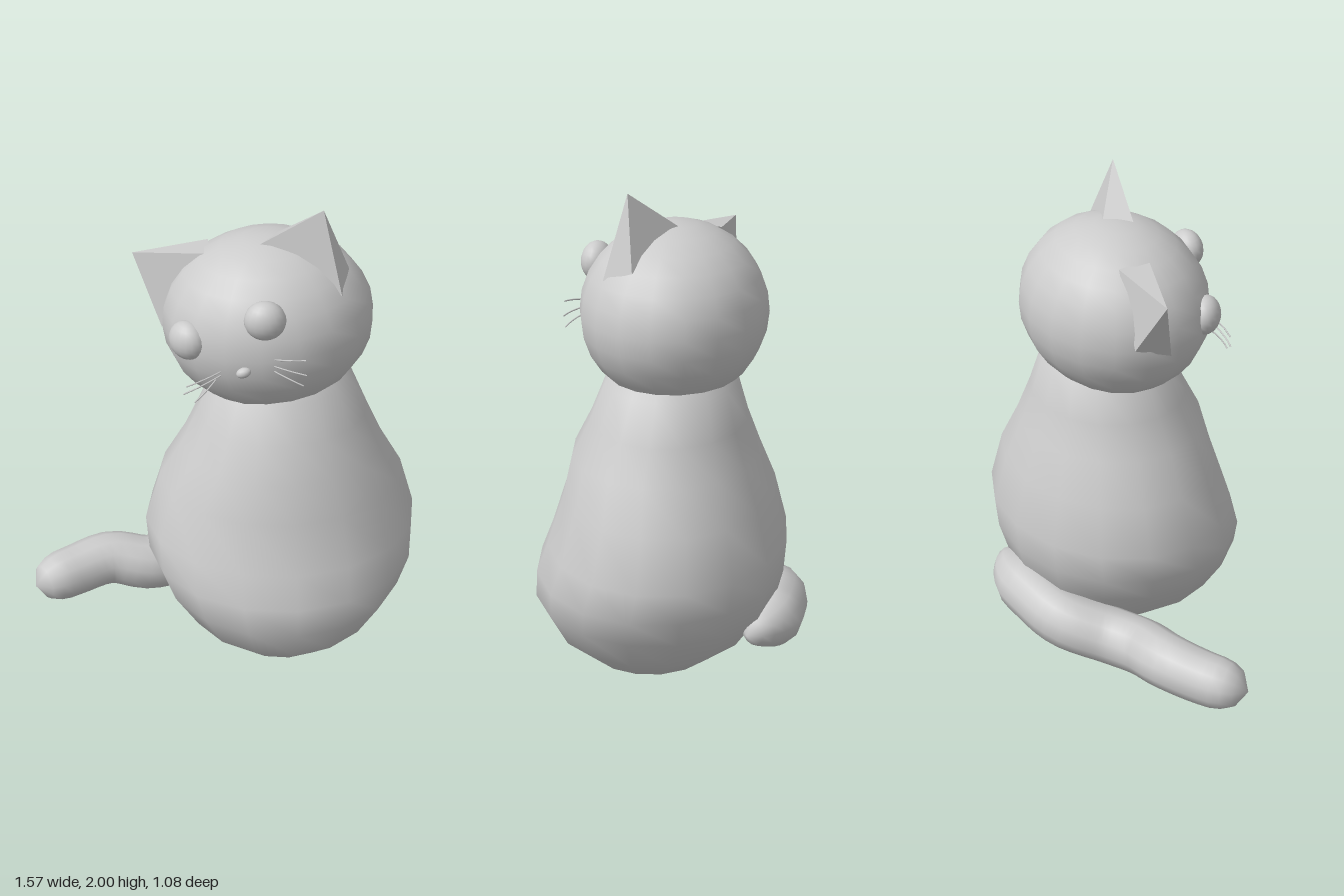
import * as THREE from 'three';
import { mergeVertices } from 'three/addons/utils/BufferGeometryUtils.js';
import { ConvexGeometry } from 'three/addons/geometries/ConvexGeometry.js';

const grey = new THREE.MeshStandardMaterial({ color: 0xcccccc });
const V = (x, y, z) => new THREE.Vector3(x, y, z);

function part(group, name, geometry) {
  const mesh = new THREE.Mesh(geometry, grey);
  mesh.name = name;
  group.add(mesh);
  return mesh;
}

// Weld seams and smooth the normals of a reshaped geometry
function smooth(geometry) {
  geometry.deleteAttribute('uv');
  geometry.deleteAttribute('normal');
  const welded = mergeVertices(geometry, 1e-5);
  welded.computeVertexNormals();
  return welded;
}

// Pear-shaped body: a lathe whose rings are shifted and stretched in z
function bodyGeometry() {
  // height, half width, front z, back z
  const rows = [
    [0.0, 0, 0.08, 0.08], [0.025, 0.13, 0.21, -0.06], [0.08, 0.25, 0.33, -0.18],
    [0.2, 0.39, 0.46, -0.33], [0.35, 0.49, 0.53, -0.43], [0.47, 0.54, 0.52, -0.46],
    [0.6, 0.55, 0.47, -0.47], [0.8, 0.49, 0.405, -0.42], [0.96, 0.4, 0.37, -0.36],
    [1.1, 0.335, 0.3, -0.31], [1.25, 0.27, 0.24, -0.27], [1.35, 0.15, 0.14, -0.16],
    [1.38, 0, 0, 0],
  ];
  const geo = new THREE.LatheGeometry(rows.map(([y, w]) => new THREE.Vector2(w, y)), 16);
  const pos = geo.attributes.position;
  for (let i = 0; i < pos.count; i++) {
    const [, w, front, back] = rows[i % rows.length];
    const unit = w > 0 ? pos.getZ(i) / w : 0;
    pos.setZ(i, (front + back) / 2 + unit * (front - back) / 2);
  }
  return smooth(geo).translate(0.23, 0, 0);
}

// Tail: a tube that is thin at the root and rounded at the tip
function tailGeometry() {
  const curve = new THREE.CatmullRomCurve3([
    V(0.47, 0.3, -0.36), V(0.33, 0.285, -0.42), V(0.17, 0.265, -0.425), V(0.0, 0.235, -0.4),
    V(-0.16, 0.19, -0.28), V(-0.3, 0.195, -0.23), V(-0.46, 0.23, -0.235),
    V(-0.62, 0.22, -0.175), V(-0.785, 0.215, -0.09),
  ]);
  const rings = 32, sides = 12;
  const geo = new THREE.TubeGeometry(curve, rings, 1, sides);
  const pos = geo.attributes.position;
  const p = new THREE.Vector3();
  for (let i = 0; i < pos.count; i++) {
    const t = Math.floor(i / (sides + 1)) / rings;
    const root = Math.sqrt(Math.min(1, t / 0.16));
    const tip = Math.sqrt(Math.max(0, 1 - Math.pow(Math.max(0, (t - 0.9) / 0.1), 2)));
    const radius = (0.115 + 0.01 * Math.sin(Math.PI * t) - 0.015 * t) * root * tip;
    const centre = curve.getPointAt(t);
    p.fromBufferAttribute(pos, i).sub(centre).multiplyScalar(radius).add(centre);
    pos.setXYZ(i, p.x, p.y, p.z);
  }
  return smooth(geo);
}

export function createModel() {
  const model = new THREE.Group();
  model.name = 'sittingCat';

  part(model, 'body', bodyGeometry());
  part(model, 'tail', tailGeometry());

  // Head
  const head = part(model, 'head', new THREE.SphereGeometry(1, 18, 14));
  head.scale.set(0.407, 0.345, 0.357);
  head.position.set(0.17, 1.503, -0.013);
  head.rotation.z = 0.05;

  // Ears: tip, then base corners front-inner, back-inner, back-outer, front-outer
  part(model, 'leftEar', new ConvexGeometry([
    V(0.35, 2.0, 0.12), V(0.115, 1.83, 0.045), V(0.195, 1.83, -0.05),
    V(0.46, 1.735, 0.08), V(0.415, 1.685, 0.2)]));
  part(model, 'rightEar', new ConvexGeometry([
    V(-0.335, 1.73, -0.15), V(-0.055, 1.775, -0.02), V(-0.045, 1.77, -0.15),
    V(-0.19, 1.5, -0.185), V(-0.235, 1.455, -0.05)]));

  // Eyes: slightly flattened balls facing outwards
  const eyes = [['leftEye', 0.115, 1.658, 0.3, -0.1], ['rightEye', -0.158, 1.523, 0.175, -0.85]];
  for (const [name, x, y, z, yaw] of eyes) {
    const eye = part(model, name, new THREE.SphereGeometry(1, 18, 12));
    eye.scale.set(0.078, 0.076, 0.06);
    eye.position.set(x, y, z);
    eye.rotation.y = yaw;
  }

  // Nose
  const nose = part(model, 'nose', new THREE.SphereGeometry(1, 12, 8));
  nose.scale.set(0.029, 0.02, 0.02);
  nose.position.set(0.035, 1.455, 0.322);
  nose.rotation.z = 0.3;

  // Whiskers: root and tip of each curved hair
  const whiskers = {
    leftWhisker: [
      [V(0.13, 1.505, 0.32), V(0.255, 1.535, 0.395)],
      [V(0.13, 1.482, 0.32), V(0.258, 1.475, 0.4)],
      [V(0.13, 1.463, 0.315), V(0.248, 1.428, 0.395)]],
    rightWhisker: [
      [V(-0.045, 1.44, 0.28), V(-0.175, 1.39, 0.29)],
      [V(-0.045, 1.42, 0.275), V(-0.185, 1.355, 0.285)],
      [V(-0.06, 1.395, 0.26), V(-0.145, 1.325, 0.3)]],
  };
  for (const [name, hairs] of Object.entries(whiskers)) {
    for (const [root, tip] of hairs) {
      const bend = root.clone().lerp(tip, 0.5).add(V(0, 0.006, 0.02));
      const curve = new THREE.QuadraticBezierCurve3(root, bend, tip);
      part(model, name, new THREE.TubeGeometry(curve, 6, 0.003, 5));
    }
  }
  return model;
}
